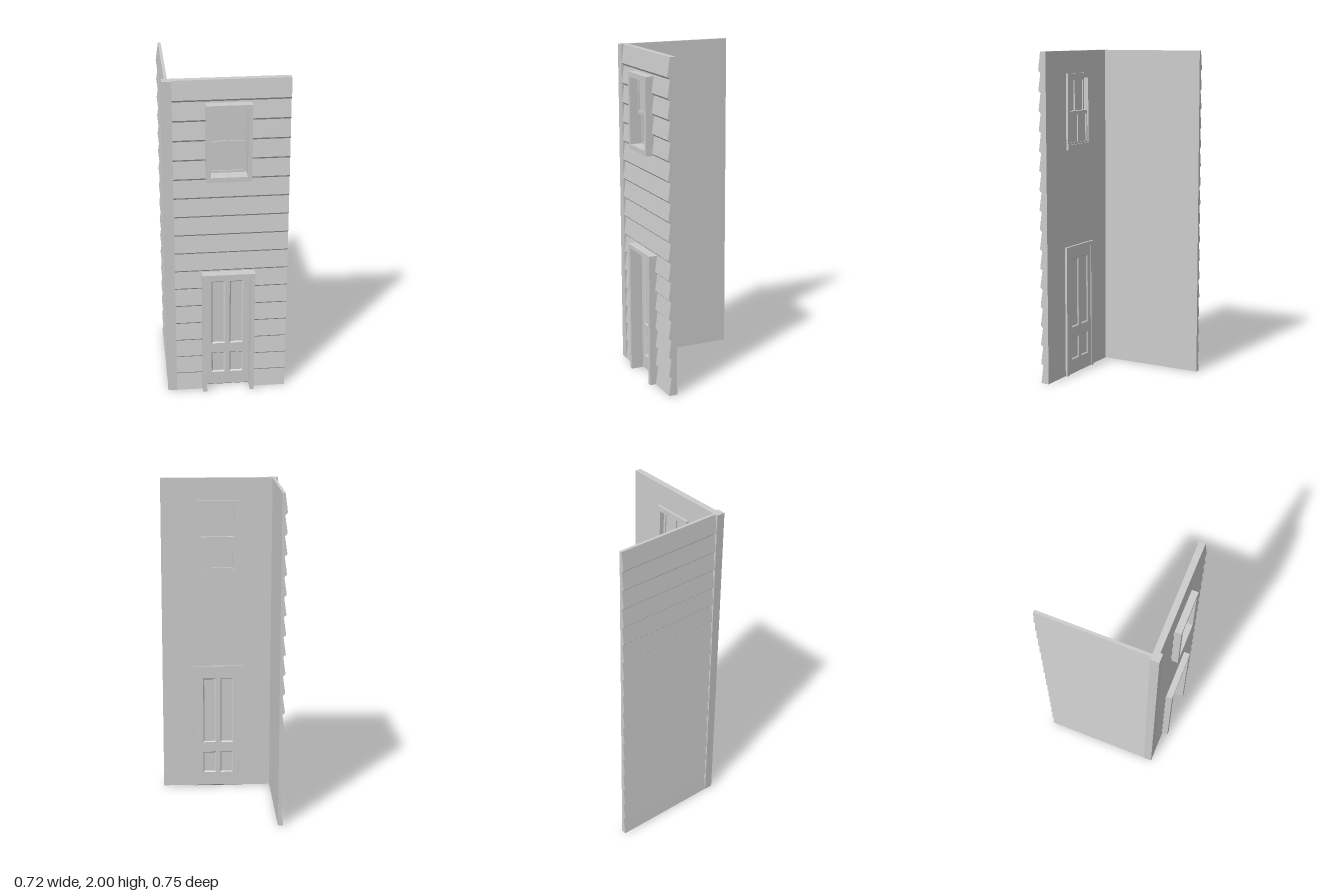
import * as THREE from 'three';

const material = new THREE.MeshStandardMaterial({ color: 0xcccccc });
const H = 2, ROWS = 17, PITCH = H / ROWS;
const INNER = 0.286, VALLEY = 0.323, PEAK = 0.338; // wall depth values

function rect(Type, x0, y0, x1, y1) {
  const r = new Type();
  r.moveTo(x0, y0);
  r.lineTo(x1, y0);
  r.lineTo(x1, y1);
  r.lineTo(x0, y1);
  r.closePath();
  return r;
}

// Outer depth of the lapped boards at height y
function boardDepth(y) {
  const row = Math.floor(y / PITCH);
  return PEAK - (PEAK - VALLEY) * (y / PITCH - row);
}

// Saw-tooth section of lapped boards between two heights
function sidingShape(y0, y1, inner, map) {
  const pts = [[inner, y0], [boardDepth(y0), y0]];
  for (let i = 1; i < ROWS; i++) {
    const y = i * PITCH;
    if (y > y0 + 0.008 && y < y1 - 0.008) pts.push([VALLEY, y - 0.007], [PEAK, y + 0.007]);
  }
  pts.push([y1 >= H ? VALLEY : boardDepth(y1), y1], [inner, y1]);
  return new THREE.Shape(pts.map(([d, y]) => new THREE.Vector2(map(d), y)));
}

function createModel() {
  const model = new THREE.Group();
  const add = (name, geometry, parent = model) => {
    const mesh = new THREE.Mesh(geometry, material);
    mesh.name = name;
    parent.add(mesh);
    return mesh;
  };
  const group = (name) => {
    const g = new THREE.Group();
    g.name = name;
    model.add(g);
    return g;
  };
  const box = (name, x0, x1, y0, y1, z0, z1, parent) =>
    add(name, new THREE.BoxGeometry(x1 - x0, y1 - y0, z1 - z0), parent)
      .position.set((x0 + x1) / 2, (y0 + y1) / 2, (z0 + z1) / 2);
  const slab = (name, shape, z0, z1, parent, bevel = 0) => {
    const geo = new THREE.ExtrudeGeometry(shape, {
      depth: z1 - z0 - 2 * bevel, bevelEnabled: bevel > 0,
      bevelThickness: bevel, bevelSize: bevel, bevelSegments: 1,
    });
    add(name, geo.translate(0, 0, z0 + bevel), parent);
  };

  // Front wall, in sections around the door and window openings
  const front = group('frontWall');
  const sections = [
    [-0.306, -0.135, 0, H], [0.15, 0.36, 0, H],
    [-0.135, -0.108, 0.8, H], [0.127, 0.15, 0.8, H],
    [-0.108, 0.127, 0.8, 1.42], [-0.108, 0.127, 1.85, H],
  ];
  for (const [x0, x1, y0, y1] of sections) {
    const geo = new THREE.ExtrudeGeometry(sidingShape(y0, y1, INNER, (d) => d),
      { depth: x1 - x0, bevelEnabled: false });
    add('frontSiding', geo.rotateY(-Math.PI / 2).translate(x1, 0, 0), front);
  }

  // Side wall and corner post
  slab('sideSiding', sidingShape(0, H, 0.306, (d) => -(d + 0.02)), -0.375, 0.29);
  box('cornerPost', -0.36, -0.306, 0, H, INNER, PEAK);

  // Door casing: an upside-down U
  const door = group('door');
  const casing = new THREE.Shape([
    [-0.148, 0], [-0.123, 0], [-0.123, 0.785], [0.14, 0.785],
    [0.14, 0], [0.165, 0], [0.165, 0.81], [-0.148, 0.81],
  ].map((p) => new THREE.Vector2(...p)));
  slab('doorCasing', casing, 0.272, 0.375, door);

  // Door leaf with four recessed panels
  const leaf = rect(THREE.Shape, -0.135, 0.006, 0.152, 0.795);
  for (const [x0, x1] of [[-0.088, -0.007], [0.022, 0.103]])
    for (const [y0, y1] of [[0.092, 0.232], [0.298, 0.728]])
      leaf.holes.push(rect(THREE.Path, x0, y0, x1, y1));
  slab('doorLeaf', leaf, 0.277, 0.3, door, 0.008);
  box('doorPanels', -0.12, 0.135, 0.05, 0.76, 0.284, 0.293, door);

  // Window casing
  const win = group('window');
  const frame = rect(THREE.Shape, -0.12, 1.405, 0.14, 1.865);
  frame.holes.push(rect(THREE.Path, -0.095, 1.435, 0.115, 1.835));
  slab('windowCasing', frame, 0.272, 0.375, win);

  // Two sliding sashes, the upper one further out
  const sash = (name, y0, y1, paneY0, paneY1, z0, z1) => {
    const shape = rect(THREE.Shape, -0.1, y0, 0.12, y1);
    for (const [x0, x1] of [[-0.084, 0.003], [0.014, 0.101]])
      shape.holes.push(rect(THREE.Path, x0, paneY0, x1, paneY1));
    slab(name, shape, z0, z1, win);
    const mid = (z0 + z1) / 2;
    box(name + 'Glass', -0.09, 0.108, y0 + 0.005, y1 - 0.005, mid - 0.003, mid + 0.003, win);
  };
  sash('upperSash', 1.615, 1.84, 1.637, 1.822, 0.302, 0.324);
  sash('lowerSash', 1.43, 1.637, 1.447, 1.615, 0.28, 0.302);

  return model;
}

export { createModel };
